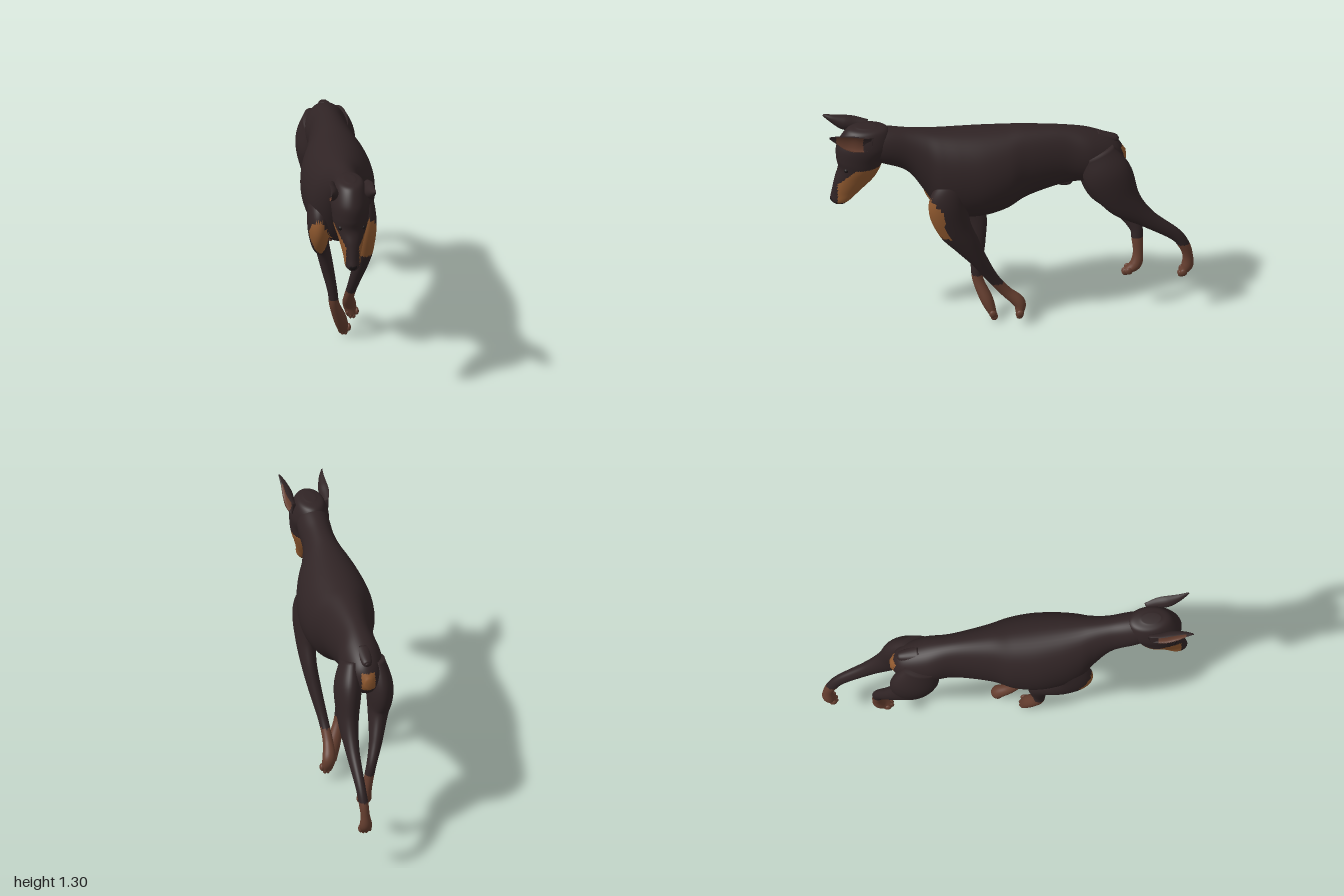
import * as THREE from 'three';

const mat = (name, color) => {
  const m = new THREE.MeshStandardMaterial({ color });
  m.name = name;
  return m;
};

// Smooth tube through sections [x, y, z, halfWidth, halfDepth].
// depthAxis fixes the ring plane; without it rings follow the path.
// rule(point, angle) gives the material index of each face.
function loft(name, sections, mats, { rule = () => 0, depthAxis = null, seg = 40, steps = 9, dent = 0 } = {}) {
  const centres = new THREE.CatmullRomCurve3(sections.map(s => new THREE.Vector3(s[0], s[1], s[2])), false, 'catmullrom');
  const sizes = new THREE.CatmullRomCurve3(sections.map(s => new THREE.Vector3(s[3], s[4], 0)), false, 'catmullrom');
  const rings = (sections.length - 1) * steps;
  const pts = [];
  for (let i = 0; i <= rings; i++) {
    const t = i / rings;
    const c = centres.getPoint(t), r = sizes.getPoint(t);
    let side = new THREE.Vector3(1, 0, 0), depth = depthAxis;
    if (!depth) {
      const tangent = centres.getTangent(t);
      depth = new THREE.Vector3().crossVectors(tangent, side).normalize();
      side = new THREE.Vector3().crossVectors(depth, tangent);
    }
    for (let j = 0; j < seg; j++) {
      const a = (j / seg) * Math.PI * 2;
      let u = Math.cos(a);
      if (u * dent > 0) u *= -0.5; // hollow one side
      pts.push(c.clone().addScaledVector(side, u * r.x).addScaledVector(depth, Math.sin(a) * r.y));
    }
  }
  const first = pts.length;
  pts.push(centres.getPoint(0), centres.getPoint(1));
  const lists = mats.map(() => []);
  const face = (a, b, c, angle) => {
    const p = new THREE.Vector3().add(pts[a]).add(pts[b]).add(pts[c]).divideScalar(3);
    lists[rule(p, angle)].push(a, b, c);
  };
  for (let j = 0; j < seg; j++) {
    const k = (j + 1) % seg, angle = ((j + 0.5) / seg) * Math.PI * 2;
    for (let i = 0; i < rings; i++) {
      const a = i * seg + j, b = i * seg + k;
      face(a, b, b + seg, angle);
      face(a, b + seg, a + seg, angle);
    }
    face(first, k, j, angle);
    face(first + 1, rings * seg + j, rings * seg + k, angle);
  }
  const geo = new THREE.BufferGeometry().setFromPoints(pts);
  geo.setIndex(lists.flat());
  let start = 0;
  lists.forEach((l, i) => {
    if (l.length) geo.addGroup(start, l.length, i);
    start += l.length;
  });
  geo.computeVertexNormals();
  const mesh = new THREE.Mesh(geo, mats);
  mesh.name = name;
  return mesh;
}

function ball(name, material, pos, scale) {
  const mesh = new THREE.Mesh(new THREE.SphereGeometry(1, 16, 12), material);
  mesh.name = name;
  mesh.position.set(...pos);
  mesh.scale.set(...scale);
  return mesh;
}

export function createModel() {
  const dog = new THREE.Group();
  dog.name = 'dog';
  const coat = mat('dark coat', 0x302425);
  const tan = mat('tan markings', 0x90592f);
  const sock = mat('brown socks', 0x653e2f);
  const black = mat('black nose and eyes', 0x1b1617);
  const mats = [coat, tan, sock];

  // Marking rules
  const chestPatch = p => p.y > 0.62 && p.y < 0.865 &&
    Math.abs(p.x) > 0.045 + 0.5 * Math.abs(p.y - 0.72) &&
    p.z > 0.375 + 0.8 * Math.max(0, p.y - 0.78) - 0.5 * Math.max(0, 0.7 - p.y);
  const rumpPatch = p => p.z < -0.57 && Math.abs(p.x) < 0.038 && p.y > 0.93 && p.y < 1.03;
  const bodyRule = p => (chestPatch(p) || rumpPatch(p) ? 1 : 0);

  // Torso and neck: [z, top, bottom, halfWidth]
  const torso = [
    [-0.64, 1, 0.94, 0.02], [-0.58, 1.08, 0.88, 0.08], [-0.45, 1.142, 0.84, 0.115],
    [-0.3, 1.178, 0.828, 0.109], [-0.1, 1.198, 0.775, 0.145], [0.02, 1.2, 0.712, 0.184],
    [0.15, 1.205, 0.68, 0.2], [0.28, 1.213, 0.683, 0.188], [0.38, 1.222, 0.72, 0.162],
    [0.46, 1.233, 0.85, 0.12], [0.56, 1.247, 0.99, 0.09], [0.7, 1.27, 1.055, 0.087], [0.8, 1.26, 1.1, 0.06],
  ].map(([z, top, bottom, w]) => [0, (top + bottom) / 2, z, w, (top - bottom) / 2]);
  dog.add(loft('torso', torso, mats, { rule: bodyRule, depthAxis: new THREE.Vector3(0, 1, 0), seg: 56 }));

  // Head and muzzle: [y, front, back, halfWidth]
  const head = [
    [1.287, 0.83, 0.73, 0.03], [1.265, 0.89, 0.66, 0.075], [1.18, 0.94, 0.635, 0.103],
    [1.1, 0.943, 0.68, 0.1], [1.04, 0.933, 0.7, 0.092], [0.97, 0.952, 0.735, 0.07],
    [0.89, 0.968, 0.81, 0.048], [0.84, 0.975, 0.86, 0.041], [0.815, 0.955, 0.89, 0.024],
  ].map(([y, front, back, w]) => [0, y, (front + back) / 2, w, (front - back) / 2]);
  const headRule = p => {
    const limit = p.y < 0.95 ? 0.94 : 0.94 - (p.y - 0.95) * 0.85;
    const mouth = Math.abs(p.x) < 0.01 && p.y < 0.95;
    return p.y > 0.828 && p.y < 1.057 && p.z < limit && !mouth ? 1 : 0;
  };
  dog.add(loft('head', head, mats, { rule: headRule, depthAxis: new THREE.Vector3(0, 0, 1), seg: 56 }));
  dog.add(ball('nose', black, [0, 0.845, 0.957], [0.026, 0.022, 0.019]));

  // Ears, swept forward with the hollow facing out
  for (const s of [1, -1]) {
    const name = s > 0 ? 'left' : 'right';
    const ear = [
      [0.1, 1.225, 0.76, 0.03, 0.04], [0.117, 1.238, 0.83, 0.045, 0.045], [0.118, 1.255, 0.89, 0.045, 0.042],
      [0.117, 1.282, 0.95, 0.026, 0.023], [0.121, 1.304, 0.997, 0.006, 0.006],
    ].map(([x, ...rest]) => [s * x, ...rest]);
    dog.add(loft(name + 'Ear', ear, mats, {
      dent: s, seg: 28, rule: (p, a) => (Math.cos(a) * s > 0.1 && p.z > 0.81 && p.z < 0.96 ? 2 : 0),
    }));
    dog.add(ball(name + 'Eye', black, [s * 0.062, 1.05, 0.898], [0.013, 0.013, 0.013]));
  }

  // Docked tail and belly
  dog.add(loft('tail', [
    [0, 1.1, -0.48, 0.045, 0.03], [0, 1.074, -0.58, 0.028, 0.024], [0, 1.07, -0.602, 0.01, 0.009],
  ], mats, { seg: 24 }));
  dog.add(ball('sheath', coat, [0, 0.822, -0.31], [0.018, 0.021, 0.042]));

  // Legs in mid gallop: centre points from hip or shoulder to paw, brown below sockTop
  const addLeg = (name, sockTop, sizes, path) => {
    const leg = new THREE.Group();
    leg.name = name;
    const sections = path.map((p, i) => [...p, ...sizes[i]]);
    leg.add(loft(name + 'Limb', sections, mats, { rule: p => (p.y < sockTop ? 2 : bodyRule(p)) }));
    // Four toes, the middle pair reaching furthest
    const [ankle, tip] = path.slice(-2).map(p => new THREE.Vector3(...p));
    for (let i = 0; i < 4; i++) {
      const o = i - 1.5;
      const at = tip.clone().lerp(ankle, Math.abs(o) > 1 ? 0.3 : 0);
      leg.add(ball('toe', sock, [tip.x + o * 0.017, at.y, at.z], [0.0115, 0.021, 0.02]));
    }
    dog.add(leg);
  };

  // [halfWidth, halfDepth] down each kind of leg
  const frontSizes = [[0.06, 0.085], [0.063, 0.107], [0.053, 0.095], [0.041, 0.071], [0.035, 0.047],
    [0.027, 0.032], [0.028, 0.03], [0.036, 0.034], [0.028, 0.018]];
  const hindSizes = [[0.05, 0.1], [0.072, 0.132], [0.055, 0.1], [0.037, 0.054], [0.027, 0.036],
    [0.026, 0.031], [0.025, 0.028], [0.034, 0.032], [0.026, 0.016]];

  addLeg('leftFrontLeg', 0.265, frontSizes, [
    [0.115, 0.95, 0.3], [0.128, 0.82, 0.35], [0.13, 0.68, 0.32], [0.127, 0.56, 0.25], [0.11, 0.44, 0.18],
    [0.085, 0.3, 0.1], [0.075, 0.2, 0.025], [0.085, 0.13, -0.045], [0.1, 0.06, -0.045]]);
  addLeg('rightFrontLeg', 0.265, frontSizes, [
    [-0.115, 0.95, 0.29], [-0.122, 0.82, 0.345], [-0.113, 0.7, 0.28], [-0.09, 0.61, 0.18], [-0.058, 0.46, 0.163],
    [-0.03, 0.32, 0.17], [-0.018, 0.23, 0.163], [0.018, 0.12, 0.12], [0.042, 0.028, 0.085]]);
  addLeg('leftHindLeg', 0.43, hindSizes, [
    [0.07, 1.03, -0.47], [0.095, 0.9, -0.53], [0.11, 0.74, -0.61], [0.115, 0.62, -0.735], [0.11, 0.5, -0.89],
    [0.104, 0.42, -0.945], [0.099, 0.35, -0.965], [0.095, 0.285, -0.963], [0.095, 0.237, -0.93]]);
  addLeg('rightHindLeg', 0.44, hindSizes, [
    [-0.07, 1.03, -0.47], [-0.085, 0.88, -0.515], [-0.073, 0.73, -0.535], [-0.038, 0.605, -0.63], [0, 0.5, -0.695],
    [0.015, 0.43, -0.702], [0.027, 0.35, -0.705], [0.035, 0.28, -0.69], [0.036, 0.24, -0.633]]);
  return dog;
}
